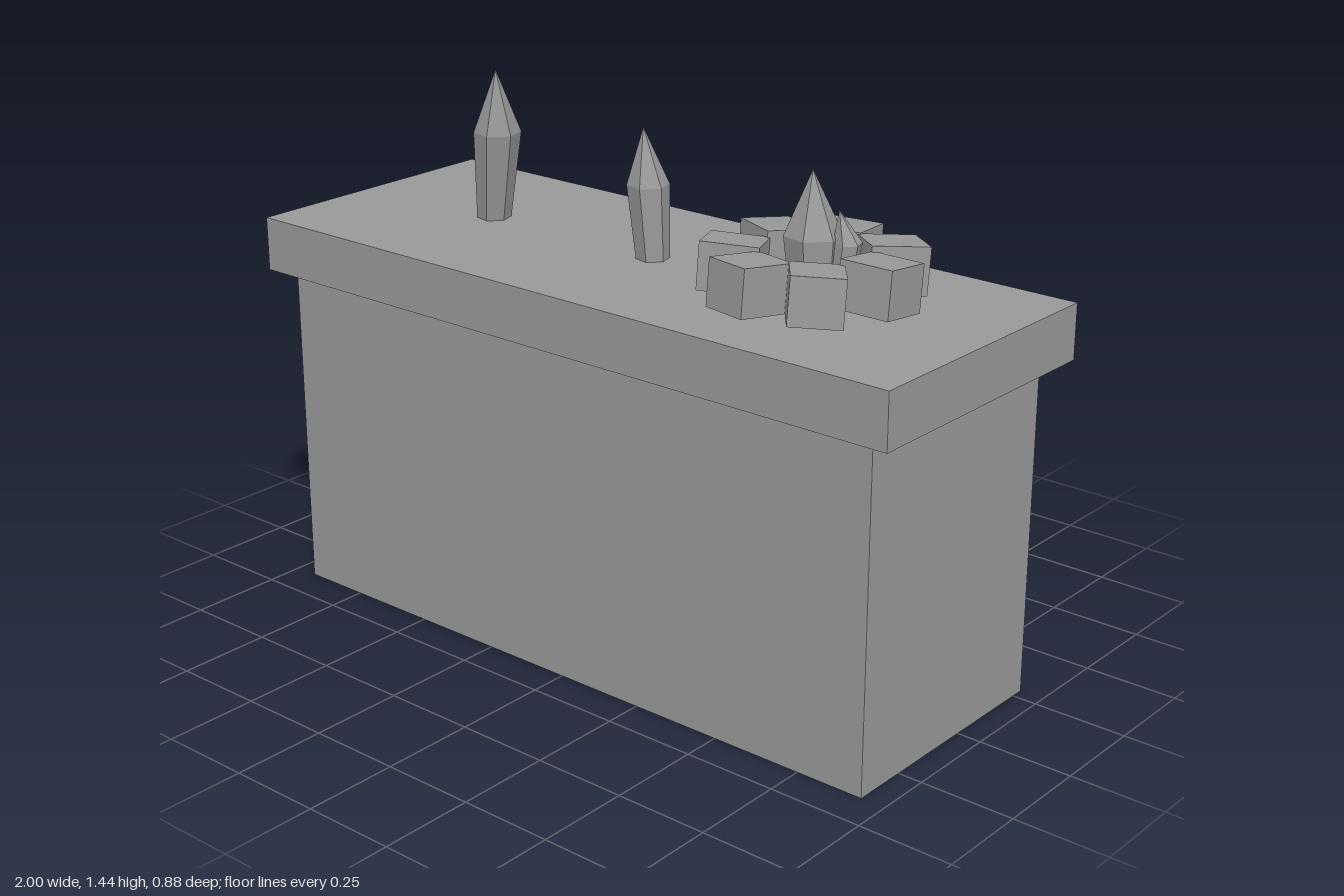
import * as THREE from 'three';

const stone = new THREE.MeshStandardMaterial({ color: 0x999999 });
stone.name = 'grey';

// Separate the faces so every facet is flat
function faceted(geometry) {
  const flat = geometry.toNonIndexed();
  flat.computeVertexNormals();
  return flat;
}

function add(parent, name, geometry) {
  const mesh = new THREE.Mesh(geometry, stone);
  mesh.name = name;
  parent.add(mesh);
  return mesh;
}

// Box given by its lower and upper corners
function box(parent, name, [x0, y0, z0], [x1, y1, z1]) {
  const mesh = add(parent, name, new THREE.BoxGeometry(x1 - x0, y1 - y0, z1 - z0));
  mesh.position.set((x0 + x1) / 2, (y0 + y1) / 2, (z0 + z1) / 2);
  return mesh;
}

// Leaning six-sided crystal: centres of base, shoulder and tip, with two radii
function crystal(parent, name, base, shoulder, tip, baseRadius, shoulderRadius) {
  const centres = [base, base, shoulder, tip];
  const profile = [0, baseRadius, shoulderRadius, 0].map(
    (r, i) => new THREE.Vector2(r, centres[i][1]));
  const geometry = new THREE.LatheGeometry(profile, 6, 0.3);
  const pos = geometry.attributes.position;
  for (let i = 0; i < pos.count; i++) {
    const c = centres[i % 4];
    pos.setX(i, pos.getX(i) + c[0]);
    pos.setZ(i, pos.getZ(i) + c[2]);
  }
  return add(parent, name, faceted(geometry));
}

export function createModel() {
  const model = new THREE.Group();
  model.name = 'crystalCounter';

  // Cabinet and worktop
  box(model, 'cabinet', [-0.935, 0, -0.284], [0.935, 0.89, 0.4]);
  box(model, 'worktop', [-1, 0.888, -0.33], [1, 1.032, 0.44]);

  // Three back doors, each with an upright bar and a round handle
  for (const x of [-0.55, -0.003, 0.546]) {
    const door = new THREE.Group();
    door.name = 'door';
    door.position.x = x;
    box(door, 'panel', [-0.247, 0.132, -0.336], [0.247, 0.793, -0.28]);
    box(door, 'bar', [-0.021, 0.178, -0.37], [0.021, 0.748, -0.33]);
    const handle = add(door, 'handle',
      faceted(new THREE.CylinderGeometry(0.025, 0.025, 0.088, 8)));
    handle.rotation.x = Math.PI / 2;
    handle.position.set(0.143, 0.464, -0.395);
    model.add(door);
  }

  // Free-standing crystals
  crystal(model, 'tallCrystal',
    [-0.547, 1.03, 0.045], [-0.515, 1.27, 0.058], [-0.5, 1.44, 0.075], 0.045, 0.062);
  crystal(model, 'middleCrystal',
    [0.008, 1.03, 0.05], [-0.007, 1.22, 0.05], [-0.018, 1.365, 0.055], 0.043, 0.054);

  // Ring of seven blocks, all tipped the same way, around a crystal cluster
  const ring = new THREE.Group();
  ring.name = 'blockRing';
  ring.position.set(0.505, 1.104, 0.05);
  const tilt = new THREE.Quaternion().setFromAxisAngle(new THREE.Vector3(1, 0, 0), -0.1);
  for (let i = 0; i < 7; i++) {
    const angle = (i / 7) * Math.PI * 2;
    const block = add(ring, 'block', new THREE.BoxGeometry(0.146, 0.12, 0.13));
    block.position.set(Math.cos(angle) * 0.193, 0, -Math.sin(angle) * 0.193);
    block.quaternion.setFromAxisAngle(new THREE.Vector3(0, 1, 0), angle).premultiply(tilt);
  }
  model.add(ring);
  crystal(model, 'ringCrystal',
    [0.507, 1.03, 0.05], [0.503, 1.19, 0.05], [0.502, 1.35, 0.055], 0.055, 0.072);
  crystal(model, 'smallCrystal',
    [0.565, 1.03, 0.035], [0.585, 1.18, 0.025], [0.568, 1.26, 0.038], 0.03, 0.036);

  return model;
}
